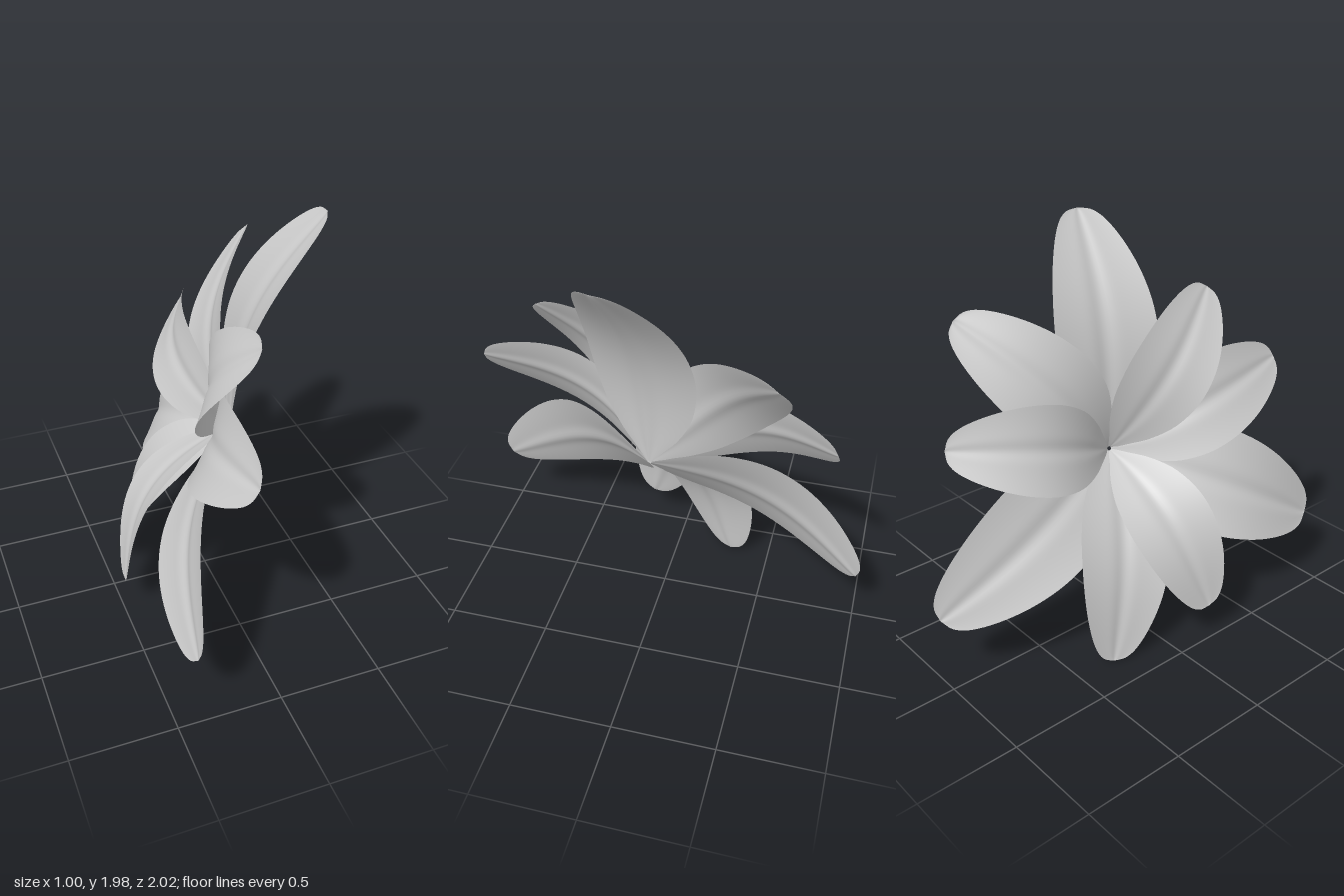
import * as THREE from 'three';

const V = (x, y, z) => new THREE.Vector3(x, y, z);

// Bloom frame: throat position, facing direction, and the direction of the first petal
const BASE = V(0.125, 0.87, 0.06);
const FACING = V(-0.894, 0.387, -0.223).normalize();
const FIRST = V(0.366, 0.923, 0.121).projectOnPlane(FACING).normalize();

// Petal outline: (fraction of length, fraction of full half width)
const OUTLINE = new THREE.CatmullRomCurve3([
  [0, 0.06], [0.05, 0.27], [0.13, 0.6], [0.25, 0.88], [0.4, 1], [0.55, 0.98],
  [0.7, 0.87], [0.84, 0.68], [0.94, 0.46], [0.985, 0.26], [1, 0],
].map(([t, w]) => V(t, w, 0)));

// Three whorls, outermost first: tip lift, arch and its skew to the base, half width,
// and for each petal its angle in degrees and its reach
const WHORLS = [
  { name: 'outerPetal', lift: 0.05, arch: 0.14, skew: 1, half: 0.268,
    petals: [[0, 1.17], [122.5, 1.16], [243, 1.17]] },
  { name: 'middlePetal', lift: 0.13, arch: 0.155, skew: 0.88, half: 0.23,
    petals: [[45, 1.01], [169, 1.02], [289, 0.98]] },
  { name: 'innerPetal', lift: 0.24, arch: 0.175, skew: 0.85, half: 0.21,
    petals: [[80, 0.89], [200, 0.88], [323, 0.89]] },
];

// One arched, slightly cupped petal with a soft midrib, bent from a flat grid
function petalGeometry({ lift, arch, skew, half }, degrees, reach) {
  const out = FIRST.clone().applyAxisAngle(FACING, THREE.MathUtils.degToRad(degrees));
  const side = FACING.clone().cross(out);
  const geometry = new THREE.PlaneGeometry(2, 1, 28, 44);
  const pos = geometry.attributes.position;
  const p = V(0, 0, 0);
  for (let i = 0; i < pos.count; i++) {
    const v = pos.getX(i);
    const edge = OUTLINE.getPoint(pos.getY(i) + 0.5);
    const t = THREE.MathUtils.clamp(edge.x, 0, 1);
    const w = half * Math.max(edge.y, 0);
    const spine = lift * t + arch * Math.sin(Math.PI * Math.pow(t, skew));
    const cup = w * (0.1 * v * v - 0.055 * Math.exp(-((v / 0.18) ** 2)));
    p.copy(BASE)
      .addScaledVector(out, 0.01 + reach * t)
      .addScaledVector(side, w * v)
      .addScaledVector(FACING, spine + cup);
    pos.setXYZ(i, p.x, p.y, p.z);
  }
  geometry.computeVertexNormals();
  return geometry;
}

export function createModel() {
  const model = new THREE.Group();
  model.name = 'flower';
  const material = new THREE.MeshStandardMaterial({ color: 0xcccccc, side: THREE.DoubleSide });
  for (const whorl of WHORLS) {
    whorl.petals.forEach(([angle, reach], i) => {
      const petal = new THREE.Mesh(petalGeometry(whorl, angle, reach), material);
      petal.name = `${whorl.name}${i + 1}`;
      model.add(petal);
    });
  }

  // Stand the bloom on the ground and centre it
  const box = new THREE.Box3().setFromObject(model);
  const centre = box.getCenter(V(0, 0, 0));
  model.position.set(-centre.x, -box.min.y, -centre.z);
  return model;
}
